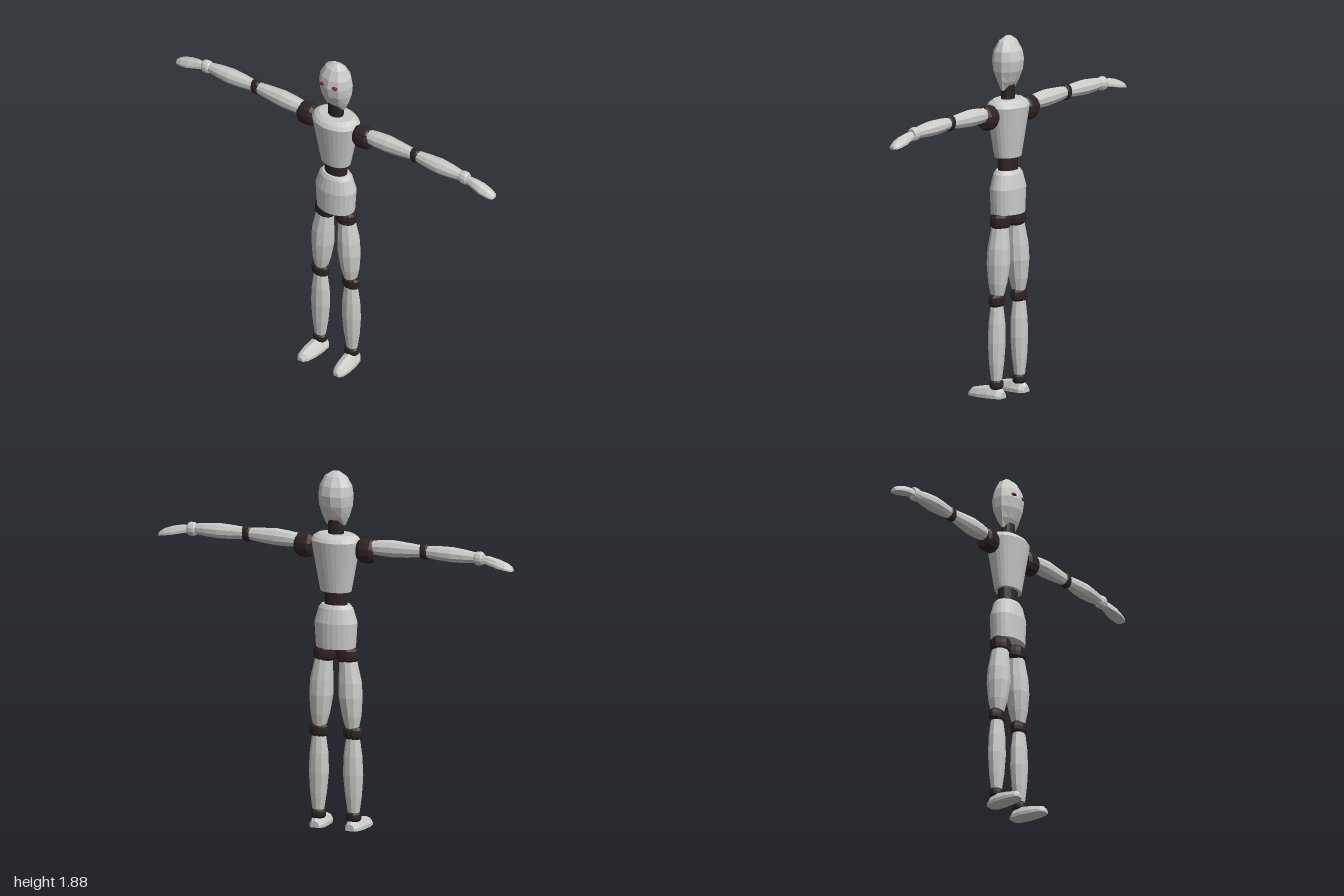
import * as THREE from 'three';

const shell = new THREE.MeshStandardMaterial({ color: 0xcbcbca });
shell.name = 'light grey shell';
const rubber = new THREE.MeshStandardMaterial({ color: 0x2e2224 });
rubber.name = 'dark joint';
const eyeRed = new THREE.MeshStandardMaterial({ color: 0x8a1c40 });
eyeRed.name = 'eye red';

// Faceted loft along an axis. Row: [t, u, v, radiusU, radiusV, lower radiusV].
// Axis x: u = z, v = y. Axis y: u = x, v = z. Axis z: u = x, v = y.
function loft(rows, axis, sides) {
  const dir = axis === 'z' ? 1 : -1;
  const place = (t, u, v) => (axis === 'x' ? [t, v, u] : axis === 'y' ? [u, t, v] : [u, v, t]);
  const point = ([t, u, v, ru, rv, low = rv], j) => {
    const a = (dir * (j + 0.5) * Math.PI * 2) / sides;
    const s = Math.sin(a);
    return place(t, u + ru * Math.cos(a), v + s * (s > 0 ? rv : low));
  };
  const pos = [];
  const tri = (...corners) => corners.forEach((c) => pos.push(...c));
  const first = rows[0];
  const last = rows[rows.length - 1];
  for (let j = 0; j < sides; j++) {
    for (let i = 0; i < rows.length - 1; i++) {
      const a = point(rows[i], j), b = point(rows[i], j + 1);
      const c = point(rows[i + 1], j), d = point(rows[i + 1], j + 1);
      tri(a, b, c);
      tri(b, d, c);
    }
    tri(place(first[0], first[1], first[2]), point(first, j + 1), point(first, j));
    tri(place(last[0], last[1], last[2]), point(last, j), point(last, j + 1));
  }
  const geo = new THREE.BufferGeometry();
  geo.setAttribute('position', new THREE.Float32BufferAttribute(pos, 3));
  geo.computeVertexNormals();
  return geo;
}

function add(parent, name, geo, material) {
  const mesh = new THREE.Mesh(geo, material);
  mesh.name = name;
  parent.add(mesh);
  return mesh;
}

// Rounded collar-like joint
function joint(t, half, u, v, ru, rv, axis) {
  const profile = [[-1, 0.78], [-0.6, 0.97], [0, 1], [0.6, 0.97], [1, 0.78]];
  return loft(profile.map(([k, r]) => [t + k * half, u, v, ru * r, rv * r]), axis, 12);
}

function buildArm(s) {
  const arm = new THREE.Group();
  arm.name = s > 0 ? 'leftArm' : 'rightArm';
  add(arm, 'shoulder', joint(0.175, 0.047, 0, 1.48, 0.052, 0.066, 'x'), rubber);
  add(arm, 'upperArm', loft([
    [0.2, 0, 1.5, 0.034, 0.036], [0.26, 0, 1.502, 0.041, 0.042], [0.33, 0, 1.504, 0.042, 0.046],
    [0.41, 0, 1.505, 0.035, 0.04], [0.5, 0, 1.507, 0.025, 0.031]], 'x', 10), shell);
  add(arm, 'elbow', joint(0.502, 0.022, 0, 1.507, 0.031, 0.043, 'x'), rubber);
  add(arm, 'forearm', loft([
    [0.51, 0, 1.507, 0.026, 0.031], [0.59, 0, 1.506, 0.037, 0.038], [0.66, 0, 1.505, 0.042, 0.041],
    [0.73, 0, 1.504, 0.036, 0.036], [0.81, 0, 1.502, 0.021, 0.026]], 'x', 10), shell);
  add(arm, 'wrist', joint(0.812, 0.024, 0, 1.5, 0.031, 0.037, 'x'), shell);
  // Flat-palmed mitten hand
  add(arm, 'hand', loft([
    [0.82, 0, 1.488, 0.018, 0.03, 0.006], [0.87, 0, 1.477, 0.027, 0.041, 0.004],
    [0.92, 0, 1.466, 0.037, 0.041, 0.003], [0.965, 0, 1.457, 0.034, 0.034, 0.002],
    [0.99, 0, 1.452, 0.026, 0.024, 0.002], [1.0, 0, 1.451, 0.014, 0.015, 0.002]], 'x', 10), shell);
  if (s < 0) arm.rotation.y = Math.PI;
  return arm;
}

function buildLeg(s) {
  const leg = new THREE.Group();
  leg.name = s > 0 ? 'leftLeg' : 'rightLeg';
  add(leg, 'hip', joint(0.922, 0.038, s * 0.064, 0, 0.062, 0.051, 'y'), rubber);
  add(leg, 'thigh', loft([
    [0.53, s * 0.092, 0, 0.034, 0.032], [0.6, s * 0.089, 0, 0.051, 0.048],
    [0.7, s * 0.083, 0, 0.063, 0.06], [0.78, s * 0.08, 0, 0.061, 0.057],
    [0.89, s * 0.069, 0, 0.047, 0.044]], 'y', 10), shell);
  add(leg, 'knee', joint(0.511, 0.031, s * 0.096, 0, 0.054, 0.038, 'y'), rubber);
  add(leg, 'shin', loft([
    [0.08, s * 0.1, 0, 0.03, 0.025], [0.18, s * 0.099, 0, 0.045, 0.036],
    [0.29, s * 0.097, 0, 0.054, 0.042], [0.39, s * 0.096, 0, 0.05, 0.04],
    [0.49, s * 0.096, 0, 0.036, 0.03]], 'y', 10), shell);
  add(leg, 'ankle', joint(0.069, 0.023, s * 0.1, 0, 0.041, 0.035, 'y'), rubber);
  // Flat-soled foot, toe turned slightly outward
  add(leg, 'foot', loft([
    [-0.045, s * 0.1, 0, 0.025, 0.035, 0], [-0.02, s * 0.1, 0, 0.043, 0.055, 0],
    [0.03, s * 0.104, 0, 0.048, 0.064, 0], [0.09, s * 0.108, 0, 0.046, 0.054, 0],
    [0.14, s * 0.112, 0, 0.034, 0.042, 0], [0.16, s * 0.114, 0, 0.017, 0.022, 0]], 'z', 10), shell);
  return leg;
}

export function createModel() {
  const figure = new THREE.Group();
  figure.name = 'jointedFigure';
  const body = new THREE.Group();
  body.name = 'body';
  body.position.z = -0.03;
  figure.add(body);

  add(body, 'head', loft([
    [1.603, 0, 0, 0.055, 0.014], [1.65, 0, 0, 0.075, 0.044], [1.705, 0, 0, 0.09, 0.068],
    [1.76, 0, 0, 0.094, 0.077], [1.81, 0, 0, 0.087, 0.068], [1.86, 0, 0, 0.06, 0.041],
    [1.885, 0, 0, 0.02, 0.01]], 'y', 10), shell);
  add(body, 'neck', loft([[1.54, 0, 0, 0.043, 0.034], [1.63, 0, 0, 0.043, 0.034]], 'y', 16), rubber);
  add(body, 'torso', loft([
    [1.253, 0, 0, 0.084, 0.061], [1.52, 0, 0, 0.134, 0.099], [1.54, 0, 0, 0.123, 0.086],
    [1.556, 0, 0, 0.098, 0.064]], 'y', 28), shell);
  add(body, 'waist', loft([[1.17, 0, 0, 0.064, 0.045], [1.26, 0, 0, 0.064, 0.045]], 'y', 20), rubber);
  add(body, 'pelvis', loft([
    [0.957, 0, 0, 0.108, 0.077], [1.09, 0, 0, 0.117, 0.08], [1.165, 0, 0, 0.094, 0.065],
    [1.184, 0, 0, 0.077, 0.055]], 'y', 24), shell);

  for (const s of [1, -1]) {
    body.add(buildArm(s), buildLeg(s));
    const eye = add(body, s > 0 ? 'leftEye' : 'rightEye', new THREE.SphereGeometry(1, 12, 8), eyeRed);
    eye.scale.set(0.017, 0.009, 0.011);
    eye.position.set(s * 0.038, 1.773, 0.066);
  }
  return figure;
}
